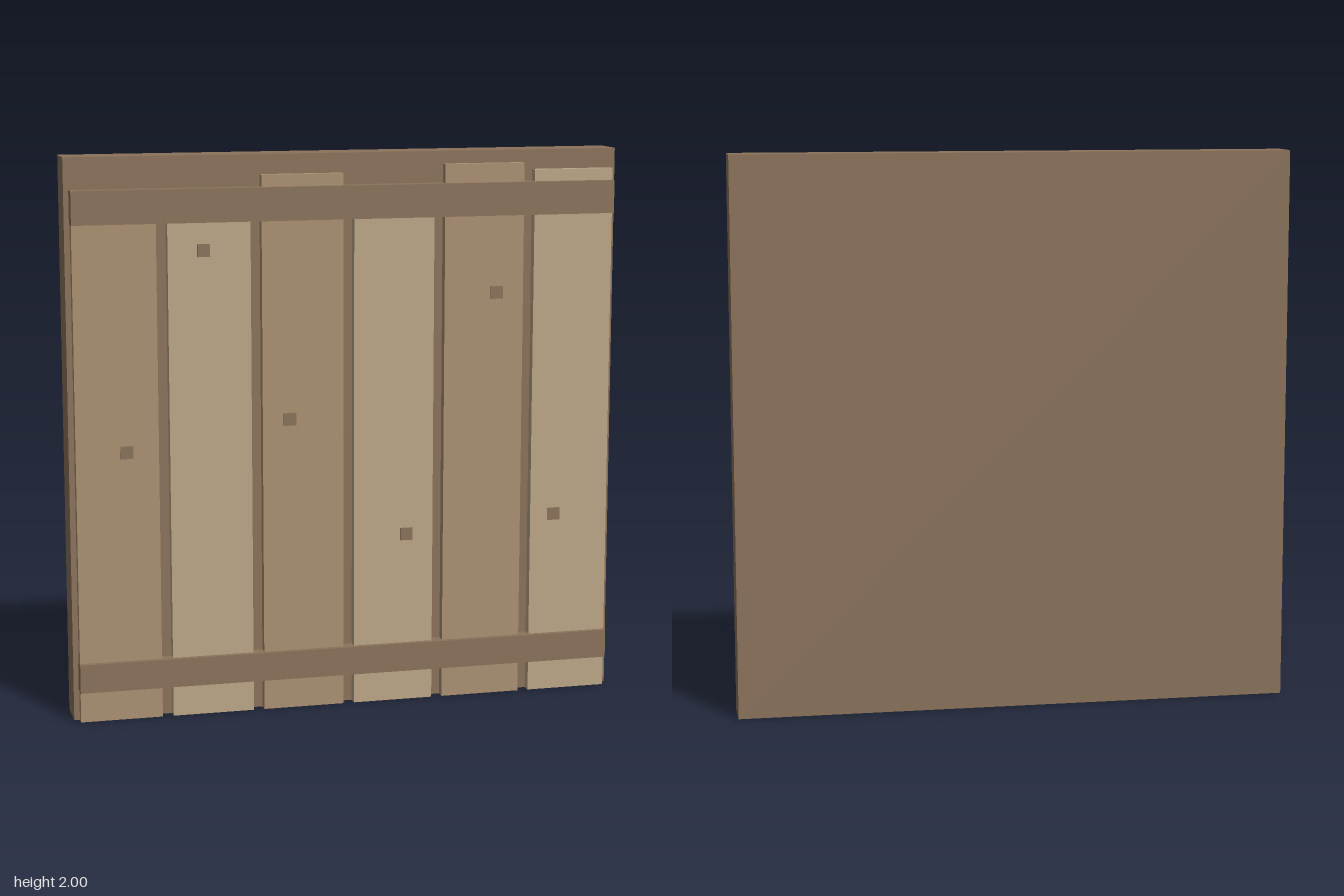
import * as THREE from 'three';

export function createModel() {
  const model = new THREE.Group();
  const material = (color) => new THREE.MeshStandardMaterial({ color });
  const dark = material(0x8b735b);
  const planks = [material(0xab9172), material(0xbea888)];

  // Box given by its lower and upper limits on each axis
  function addBox(name, mat, [x0, x1], [y0, y1], [z0, z1]) {
    const mesh = new THREE.Mesh(new THREE.BoxGeometry(x1 - x0, y1 - y0, z1 - z0), mat);
    mesh.position.set((x0 + x1) / 2, (y0 + y1) / 2, (z0 + z1) / 2);
    mesh.name = name;
    model.add(mesh);
  }

  // Solid backing panel
  addBox('backPanel', dark, [-1, 1], [0, 2], [-0.093, 0.04]);

  // Upright planks of uneven height, in alternating tones
  const tops = [1.87, 1.87, 1.93, 1.87, 1.955, 1.93];
  tops.forEach((top, i) => {
    const x = -0.833 + i * 0.3335;
    addBox(`plank${i + 1}`, planks[i % 2], [x - 0.147, x + 0.147], [0, top], [0.04, 0.073]);
  });

  // Cross rails over the planks
  addBox('topRail', dark, [-0.982, 0.982], [1.77, 1.888], [0.04, 0.093]);
  addBox('bottomRail', dark, [-0.982, 0.982], [0.112, 0.215], [0.04, 0.093]);

  // One small square knot on each plank
  const knots = [[-0.8, 0.97], [-0.52, 1.672], [-0.215, 1.063], [0.215, 0.622], [0.548, 1.493], [0.777, 0.667]];
  knots.forEach(([x, y], i) => {
    const h = 0.0225;
    addBox(`knot${i + 1}`, dark, [x - h, x + h], [y - h, y + h], [0.06, 0.08]);
  });

  return model;
}
